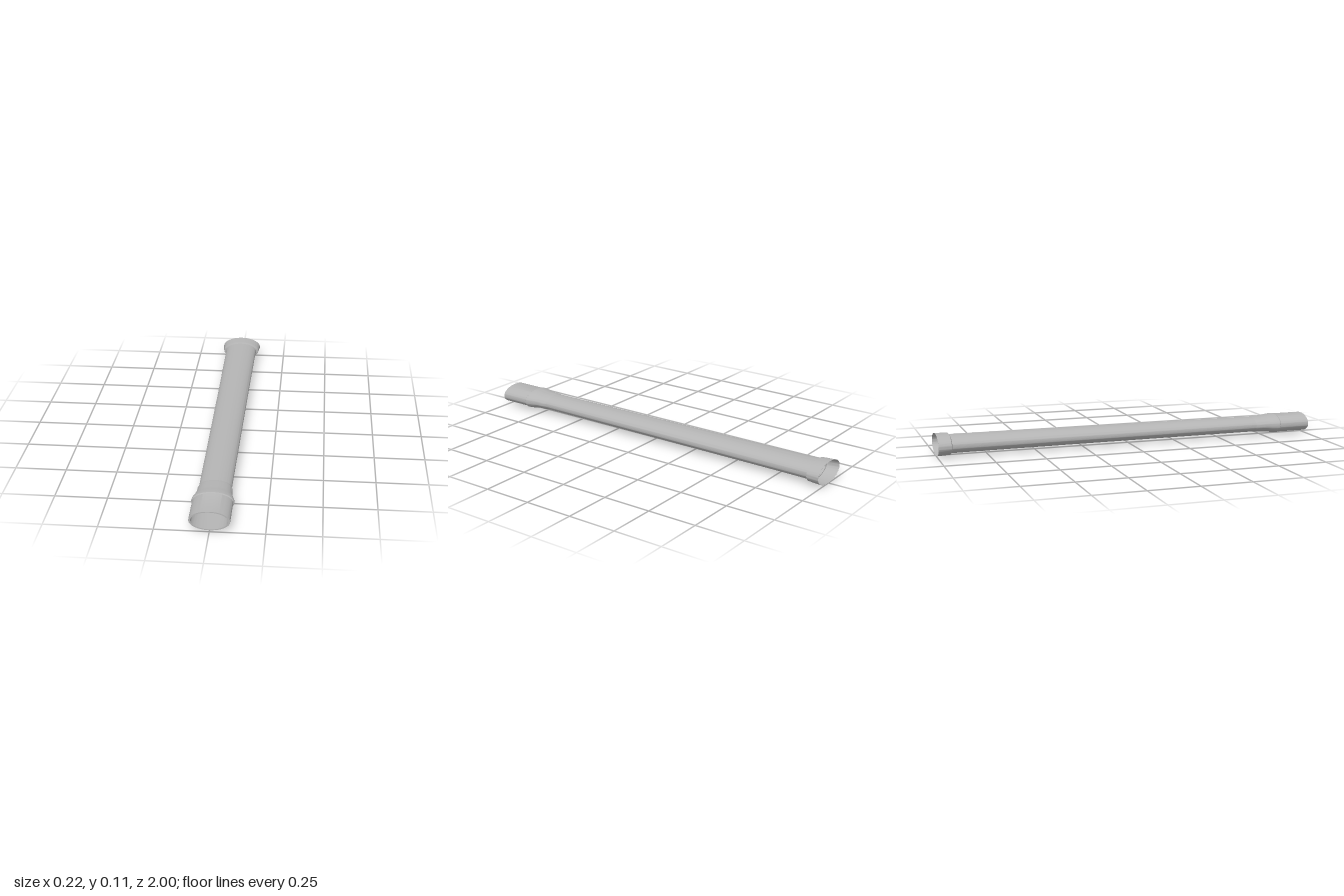
import * as THREE from 'three';
import { toCreasedNormals } from 'three/addons/utils/BufferGeometryUtils.js';

const FLATTEN = 0.51; // height of the oval section relative to its width
const CENTRE_Y = 0.056;

export function createModel() {
  const group = new THREE.Group();
  group.name = 'ovalPipe';
  const greyMetal = new THREE.MeshStandardMaterial({ color: 0xb4b4b4 });
  greyMetal.name = 'greyMetal';

  // Oval shell along z from [z, half width] pairs: outside runs towards +z, inside runs back
  function ovalShell(name, profile) {
    const points = profile.map(([z, r]) => new THREE.Vector2(r, z));
    const geometry = new THREE.LatheGeometry(points, 64);
    geometry.rotateX(Math.PI / 2);
    geometry.scale(1, FLATTEN, 1);
    const mesh = new THREE.Mesh(toCreasedNormals(geometry, 0.5), greyMetal);
    mesh.name = name;
    mesh.position.y = CENTRE_Y;
    group.add(mesh);
  }

  // Long, slightly tapering tube
  ovalShell('tube', [
    [-0.94, 0.084], [-0.94, 0.089], [-0.86, 0.087], [-0.4, 0.083],
    [0.1, 0.080], [0.7, 0.0765], [0.73, 0.0765],
    [0.73, 0.075], [0.1, 0.077], [-0.94, 0.084],
  ]);

  // Flared socket with a stepped shoulder at the back
  ovalShell('rearSocket', [
    [-0.937, 0.086], [-0.937, 0.100], [-1, 0.1065],
    [-1, 0.108], [-0.935, 0.102], [-0.93, 0.088],
  ]);

  // Front coupling: stepped neck, raised ridge and plain hollow spigot
  ovalShell('frontCoupling', [
    [0.70, 0.076], [0.72, 0.081], [0.765, 0.083], [0.79, 0.089],
    [0.82, 0.0975], [0.833, 0.0985], [0.838, 0.0935], [1, 0.093],
    [1, 0.084], [0.84, 0.083], [0.78, 0.077], [0.72, 0.075],
  ]);

  return group;
}
